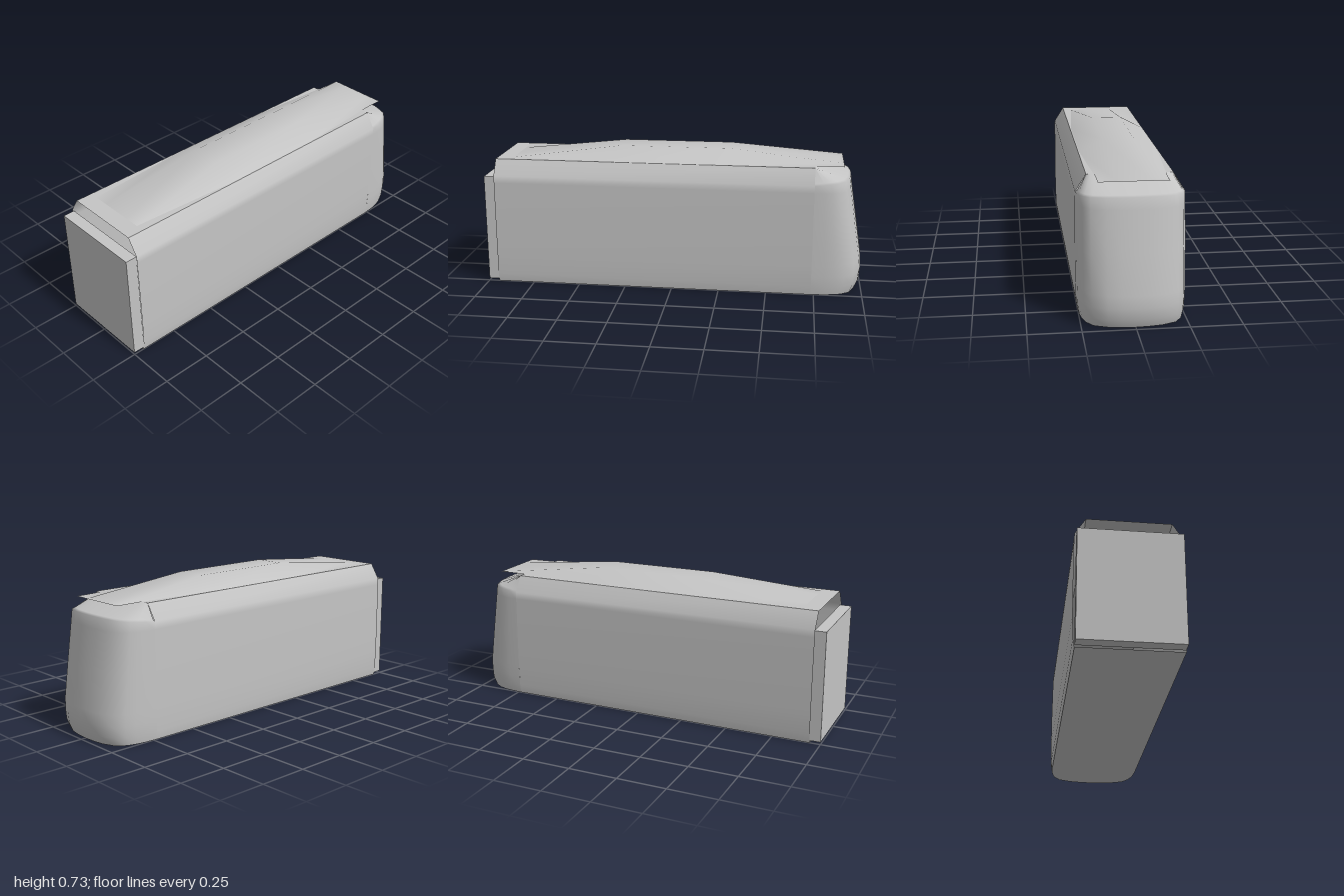
import * as THREE from 'three';

const paint = new THREE.MeshStandardMaterial({ color: 0xc4c4c4, side: THREE.DoubleSide });
paint.name = 'grey paint';

const REAR = -0.735, FRONT = 0.945, EAVE = 0.67;

// Smooth surface through rings that all hold the same number of points
function loft(name, rings) {
  const n = rings[0].length, index = [];
  for (let i = 0; i < rings.length - 1; i++) {
    for (let j = 0; j < n - 1; j++) {
      const a = i * n + j, b = a + n;
      index.push(a, b, b + 1, a, b + 1, a + 1);
    }
  }
  const geo = new THREE.BufferGeometry();
  geo.setAttribute('position', new THREE.Float32BufferAttribute(rings.flat(2), 3));
  geo.setIndex(index);
  geo.computeVertexNormals();
  return named(name, geo);
}

function named(name, geo) {
  const mesh = new THREE.Mesh(geo, paint);
  mesh.name = name;
  return mesh;
}

// Flat horizontal sheet from [x, z] points
function sheet(name, points, y) {
  const shape = new THREE.Shape(points.map(([x, z]) => new THREE.Vector2(x, -z)));
  const geo = new THREE.ShapeGeometry(shape).rotateX(-Math.PI / 2).translate(0, y, 0);
  return named(name, geo);
}

// Half of a symmetric outline, completed from -x to +x
const mirrored = (half) => [
  ...half.map(([x, t]) => [-x, t]),
  ...half.slice(0, -1).reverse(),
];

export function createModel() {
  const group = new THREE.Group();

  // Side walls, with the rounded shoulders
  const wall = [[0.25, 0], [0.257, 0.045], [0.26, 0.16], [0.26, 0.35], [0.258, 0.55], [0.257, 0.588], [0.205, EAVE]];
  for (const s of [1, -1]) {
    const section = s > 0 ? wall : [...wall].reverse();
    group.add(loft(s > 0 ? 'leftWall' : 'rightWall',
      [FRONT, REAR].map((z) => section.map(([x, y]) => [s * x, y, z]))));
  }

  // Rounded rear end: stacked outlines, closed by a sloping top
  const plan = mirrored([[1, 0], [0.985, 0.25], [0.955, 0.45], [0.9, 0.64], [0.77, 0.83], [0.5, 0.945], [0.25, 0.985], [0, 1]]);
  const levels = [
    [0, 0.25, -0.975], [0.045, 0.257, -0.995], [0.1, 0.259, -1], [0.16, 0.26, -0.998],
    [0.35, 0.26, -0.967], [0.55, 0.258, -0.934], [0.588, 0.257, -0.926],
  ];
  const rings = levels.map(([y, w, z]) => plan.map(([x, t]) =>
    [x * w, y + (y > 0.56 ? 0.018 * t : 0), REAR + t * (z - REAR)]));
  rings.push(plan.map(([x, t]) => [x * 0.245, 0.597 + 0.016 * t, REAR + t * (-0.912 - REAR)]));
  rings.push(plan.map(([x]) => [x * 0.205, EAVE, REAR]));
  group.add(loft('rearEnd', rings));

  // Floor, following the rear outline
  group.add(sheet('floor', [
    [0.25, FRONT], [-0.25, FRONT],
    ...plan.map(([x, t]) => [x * 0.25, REAR + t * (-0.975 - REAR)]),
  ].reverse(), 0));

  // Ceiling sheet with its narrower overhang at the rear
  group.add(sheet('ceiling', [
    [-0.205, FRONT], [0.205, FRONT], [0.205, REAR], [0.165, REAR],
    [0.165, -0.885], [-0.165, -0.885], [-0.165, REAR], [-0.205, REAR],
  ], EAVE));

  // Raised roof, tapering to both ends
  const roof = [[0.86, 0.16, 0.671], [0.29, 0.2, 0.733], [-0.29, 0.2, 0.733], [-0.87, 0.16, 0.671]];
  group.add(loft('roof', roof.map(([z, w, y]) =>
    [[w, 0.671, z], [0.08, y, z], [-0.08, y, z], [-w, 0.671, z]])));

  // Flat block on the front
  const block = named('frontBlock', new THREE.BoxGeometry(0.5, 0.571, 0.06));
  block.position.set(0, 0.2975, 0.97);
  group.add(block);

  return group;
}
